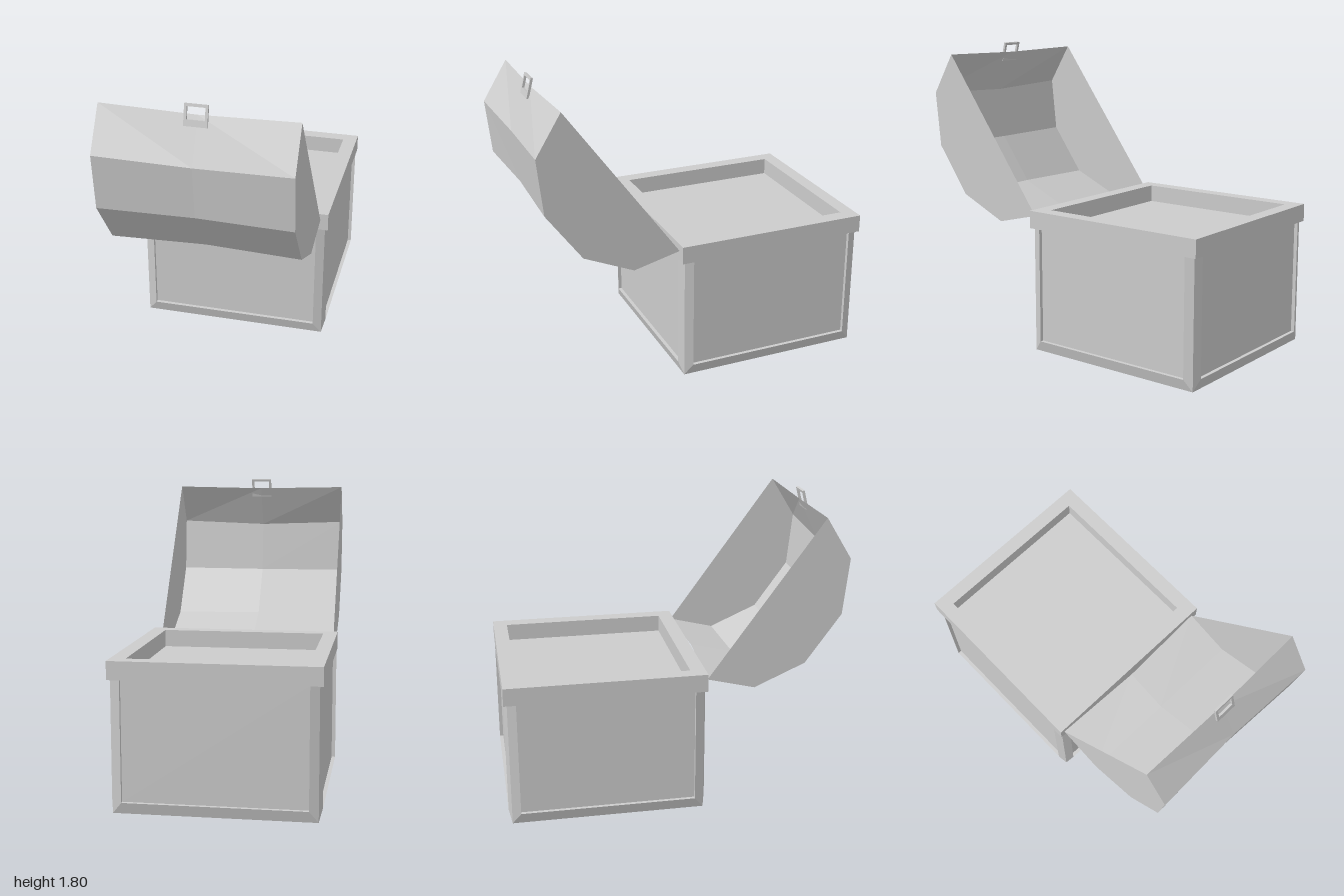
import * as THREE from 'three';

const grey = new THREE.MeshStandardMaterial({ color: 0xcccccc, side: THREE.DoubleSide, flatShading: true });
grey.name = 'grey';

const HALF = 0.587; // half width of the chest at its rim
const MID_Z = -0.413; // centre of the chest, the open lid hangs in front

function polygons(faces) {
  // fan-triangulates a list of corner loops
  const pos = [];
  for (const f of faces)
    for (let i = 1; i < f.length - 1; i++) pos.push(...f[0], ...f[i], ...f[i + 1]);
  const g = new THREE.BufferGeometry();
  g.setAttribute('position', new THREE.Float32BufferAttribute(pos, 3));
  g.computeVertexNormals();
  return g;
}

function add(parent, name, geometry) {
  const m = new THREE.Mesh(geometry, grey);
  m.name = name;
  parent.add(m);
  return m;
}

const rect = (h, y0, y1, z) => [[-h, y0, z], [h, y0, z], [h, y1, z], [-h, y1, z]];

// Sloping border that runs up to a raised edge, then steps in to a sunken panel
function framedPanel(outer, inner, sunken) {
  const faces = [sunken];
  for (const [a, b] of [[outer, inner], [inner, sunken]])
    for (let i = 0; i < 4; i++) {
      const j = (i + 1) % 4;
      faces.push([a[i], a[j], b[j], b[i]]);
    }
  return polygons(faces);
}

function rectPath(path, x0, y0, x1, y1) {
  path.moveTo(x0, y0);
  path.lineTo(x1, y0);
  path.lineTo(x1, y1);
  path.lineTo(x0, y1);
  path.closePath();
  return path;
}

// Flat rectangular ring
function ring(outer, hole, depth) {
  const s = rectPath(new THREE.Shape(), ...outer);
  s.holes.push(rectPath(new THREE.Path(), ...hole));
  return new THREE.ExtrudeGeometry(s, { depth, bevelEnabled: false });
}

export function createModel() {
  const model = new THREE.Group();
  model.name = 'chest';

  // Box with four framed sides and a framed bottom
  const box = new THREE.Group();
  box.name = 'box';
  box.position.z = MID_Z;
  model.add(box);
  const side = framedPanel(
    rect(0.567, 0.005, 0.76, 0.567),
    rect(0.516, 0.07, 0.757, 0.585),
    rect(0.516, 0.07, 0.757, 0.563)
  );
  ['frontSide', 'leftSide', 'backSide', 'rightSide'].forEach((name, k) => {
    add(box, name, side).rotation.y = k * Math.PI / 2;
  });
  const bottom = framedPanel(
    rect(0.567, -0.567, 0.567, -0.005),
    rect(0.516, -0.516, 0.516, 0),
    rect(0.516, -0.516, 0.516, -0.02)
  );
  add(box, 'bottom', bottom).rotation.x = Math.PI / 2;

  // Raised rim around a sunken top
  const rim = add(box, 'rim', ring([-HALF, -HALF, HALF, HALF], [-0.502, -0.498, 0.498, 0.502], 0.105));
  rim.rotation.x = -Math.PI / 2;
  rim.position.y = 0.755;
  const floor = add(box, 'sunkenTop', new THREE.BoxGeometry(1.1, 0.01, 1.1));
  floor.position.y = 0.751;

  // Open lid: thin faceted shell, drawn in slightly at mid width; points are [z, y]
  const lid = new THREE.Group();
  lid.name = 'lid';
  model.add(lid);
  const end = [[0.85, 1.743], [1.0, 1.5], [0.965, 1.17], [0.755, 0.882], [0.455, 0.75], [0.175, 0.82]];
  const mid = [[0.858, 1.733], [0.98, 1.482], [0.945, 1.17], [0.742, 0.894], [0.46, 0.77], [0.197, 0.832]];
  const sections = [[-0.56, end], [-0.01, mid], [0.54, end]].map(([x, pts]) => pts.map(([z, y]) => [x, y, z]));
  const faces = [];
  for (let s = 0; s < 2; s++)
    for (let i = 0; i < end.length - 1; i++) {
      const a = sections[s], b = sections[s + 1];
      faces.push([a[i], a[i + 1], b[i + 1], b[i]]);
    }
  add(lid, 'lidShell', polygons(faces));
  add(lid, 'lidEnds', polygons([[...sections[0]].reverse(), sections[2]]));

  // Clasp loop tilted along the lid's free edge
  const clasp = add(lid, 'clasp', ring([-0.065, 0, 0.065, 0.12], [-0.05, 0.035, 0.05, 0.105], 0.014));
  clasp.position.set(-0.012, 1.676, 0.884);
  clasp.rotation.x = -0.25;

  return model;
}
